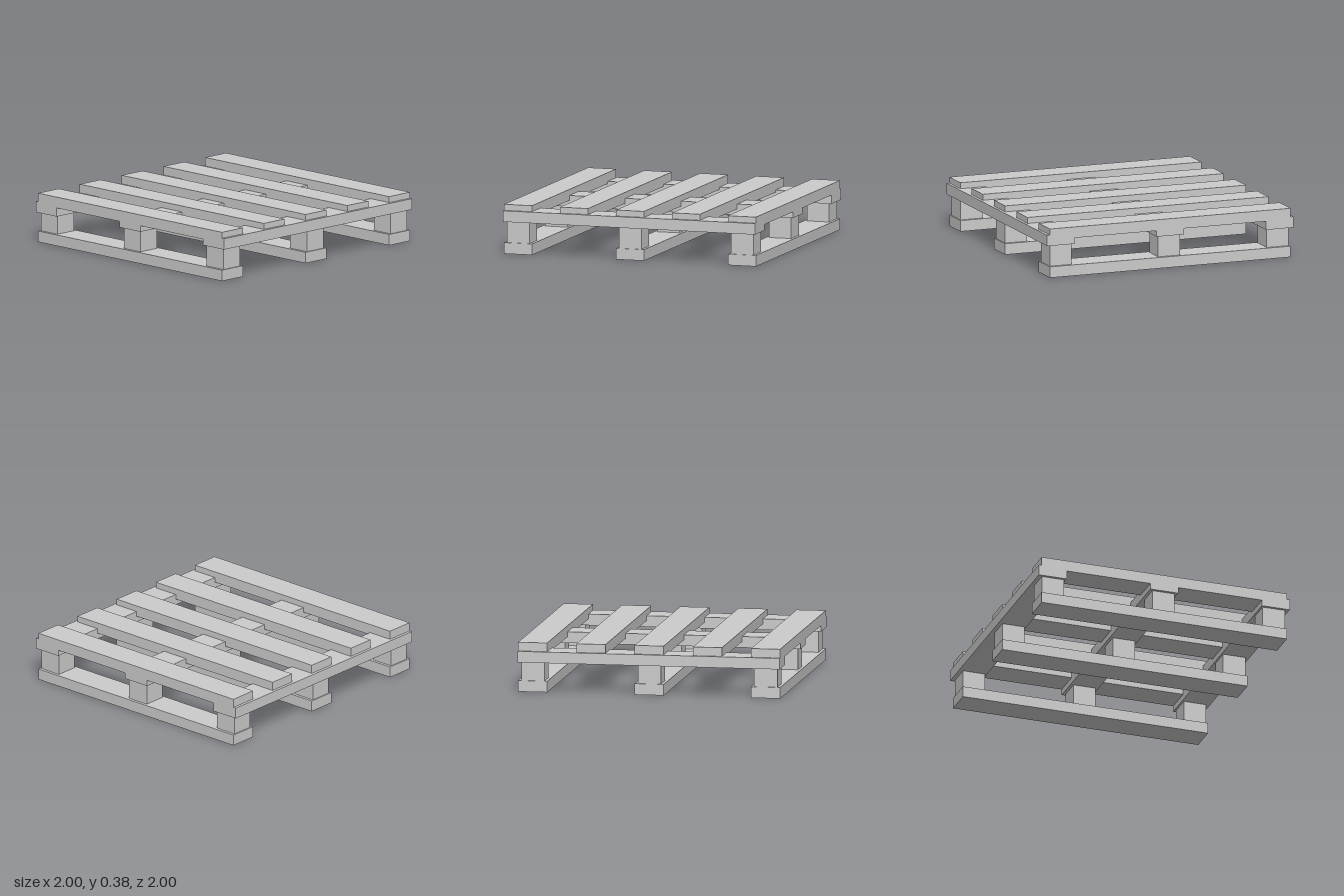
import * as THREE from 'three';

export function createModel() {
  const model = new THREE.Group();
  model.name = 'pallet';
  const material = new THREE.MeshStandardMaterial({ color: 0xcccccc, flatShading: true });

  // Box centred on x and z, spanning y0 to y1
  function board(name, width, depth, y0, y1, x, z) {
    const mesh = new THREE.Mesh(new THREE.BoxGeometry(width, y1 - y0, depth), material);
    mesh.name = name;
    mesh.position.set(x, (y0 + y1) / 2, z);
    model.add(mesh);
  }

  const plank = 0.222, thick = 0.084, length = 1.955;

  // Five deck slats running front to back
  for (let i = -2; i <= 2; i++) {
    board('deckSlat', plank, length, 0.291, 0.375, i * 0.4445, 0);
  }

  // Three cross boards under the deck; the back one sits slightly lower
  const crossBoards = [
    ['frontCrossBoard', 0.889, 0.245],
    ['middleCrossBoard', 0, 0.245],
    ['backCrossBoard', -0.889, 0.225],
  ];
  for (const [name, z, y] of crossBoards) {
    board(name, 2, plank, y, y + thick, 0, z);
  }

  // Three bottom runners, each carrying three spacer blocks
  for (const x of [-0.889, 0, 0.889]) {
    board('bottomRunner', plank, length, 0, thick, x, 0);
    for (const z of [-0.88, 0, 0.88]) {
      board('spacerBlock', 0.177, 0.177, 0.075, 0.252, x, z);
    }
  }

  return model;
}
